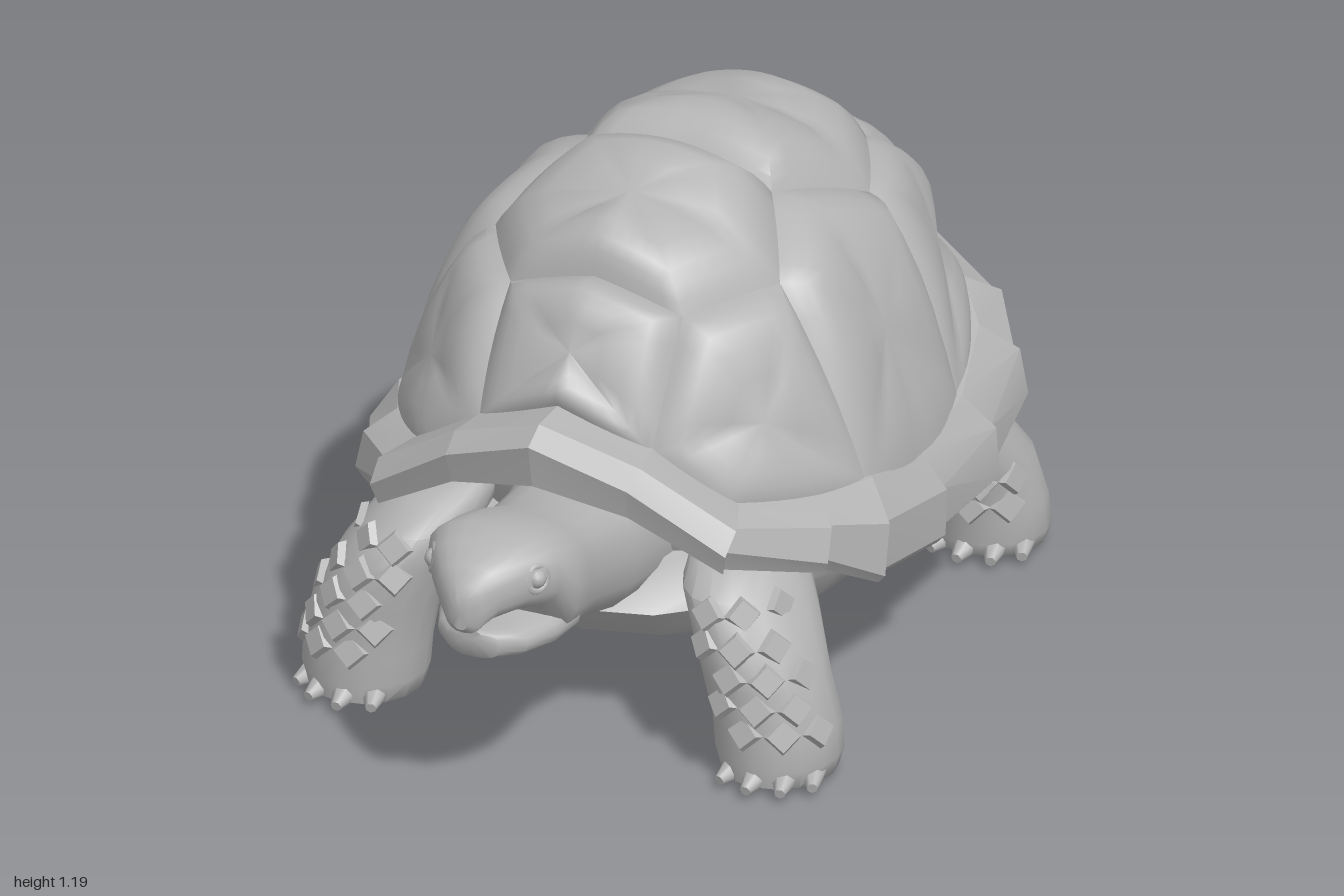
import * as THREE from 'three';
import { toCreasedNormals } from 'three/addons/utils/BufferGeometryUtils.js';

const V = (p) => new THREE.Vector3(...p);
const CORE = new THREE.Vector3(0, 0.5, -0.15);
const grey = new THREE.MeshStandardMaterial({ color: 0xb4b4b4 });
grey.name = 'grey';

function build(verts, faces, crease) {
  const g = new THREE.BufferGeometry();
  g.setAttribute('position', new THREE.Float32BufferAttribute(verts.flatMap((v) => [v.x, v.y, v.z]), 3));
  g.setIndex(faces.flat());
  return toCreasedNormals(g, crease);
}

// Closed skin over equal-length rings, turned outward by its signed volume
function loft(rings, crease = 0.9) {
  const n = rings[0].length, verts = rings.flat(), faces = [];
  for (let r = 0; r < rings.length - 1; r++) {
    for (let i = 0; i < n; i++) {
      const a = r * n + i, b = r * n + (i + 1) % n;
      faces.push([a, b, b + n], [a, b + n, a + n]);
    }
  }
  [0, rings.length - 1].forEach((r, end) => {
    const c = new THREE.Vector3();
    rings[r].forEach((p) => c.addScaledVector(p, 1 / n));
    verts.push(c);
    for (let i = 0; i < n; i++) {
      const a = r * n + i, b = r * n + (i + 1) % n;
      faces.push(end ? [a, b, verts.length - 1] : [b, a, verts.length - 1]);
    }
  });
  const cross = new THREE.Vector3();
  const volume = faces.reduce((s, [a, b, c]) => s + verts[a].dot(cross.crossVectors(verts[b], verts[c])), 0);
  if (volume < 0) faces.forEach((f) => f.reverse());
  return build(verts, faces, crease);
}

// Rings: flat ellipses for limbs, upright squarish ones for the head
function ring(n, fn) {
  return Array.from({ length: n }, (_, i) => V(fn(Math.cos(i / n * Math.PI * 2), Math.sin(i / n * Math.PI * 2))));
}
const square = (v) => Math.sign(v) * Math.abs(v) ** 0.78;
const flatRing = ([x, y, z, rx, rz]) => ring(16, (c, s) => [x + rx * c, y, z + rz * s]);
const uprightRing = ([z, top, bottom, rx]) =>
  ring(20, (c, s) => [rx * square(c), (top + bottom) / 2 + (top - bottom) / 2 * square(s), z]);

// Domed shell plate: seams arch outward, the middle swells to a plateau, most of all near its top
function scute(corners, bulge) {
  const edge = [], steps = 5;
  corners.forEach((p, i) => {
    const q = corners[(i + 1) % corners.length];
    for (let k = 0; k < steps; k++) {
      const t = k / steps, e = p.clone().lerp(q, t);
      const out = e.clone().sub(CORE).normalize();
      edge.push(e.addScaledVector(out, 0.24 * t * (1 - t) * p.distanceTo(q) ** 1.3));
    }
  });
  const n = edge.length, mid = new THREE.Vector3(), normal = new THREE.Vector3();
  corners.forEach((p) => mid.addScaledVector(p, 1 / corners.length));
  corners.forEach((p, i) => {
    const q = corners[(i + 1) % corners.length];
    normal.add(p.clone().sub(mid).cross(q.clone().sub(mid)));
  });
  normal.normalize();
  const flip = normal.dot(mid.clone().sub(CORE)) < 0;
  if (flip) normal.negate();
  const levels = [1, 0.95, 0.88, 0.78, 0.6, 0.35], verts = [], faces = [];
  levels.forEach((t) => edge.forEach((e) => {
    const p = mid.clone().lerp(e, t);
    const swell = bulge * (1 - t ** 5) * (1 + 2.4 * (p.y - mid.y));
    verts.push(p.addScaledVector(normal, swell));
  }));
  verts.push(mid.clone().addScaledVector(normal, bulge));
  for (let r = 0; r < levels.length; r++) {
    for (let i = 0; i < n; i++) {
      const a = r * n + i, b = r * n + (i + 1) % n;
      if (r === levels.length - 1) faces.push([a, b, verts.length - 1]);
      else faces.push([a, b, b + n], [a, b + n, a + n]);
    }
  }
  if (flip) faces.forEach((f) => f.reverse());
  return build(verts, faces, 0.9);
}

export function createModel() {
  const model = new THREE.Group();
  model.name = 'tortoise';
  const add = (name, geo, parent = model) => {
    const m = new THREE.Mesh(geo, grey);
    m.name = name;
    parent.add(m);
    return m;
  };
  const group = (name) => {
    const g = new THREE.Group();
    g.name = name;
    model.add(g);
    return g;
  };

  // Body inside the shell
  add('body', new THREE.SphereGeometry(1, 28, 18).scale(0.48, 0.4, 0.58).translate(0, 0.55, -0.19));

  // Centre-line plates: half outlines from front middle to back middle
  const shell = group('shell');
  const spine = [
    [[[0, 0.8, 0.5], [0.2, 0.71, 0.46], [0.2, 0.96, 0.3], [0, 1.02, 0.31]], 0.065],
    [[[0, 1.02, 0.31], [0.2, 0.96, 0.3], [0.33, 0.97, 0.09], [0.22, 1.07, -0.11], [0, 1.1, -0.12]], 0.125],
    [[[0, 1.1, -0.12], [0.22, 1.07, -0.11], [0.32, 0.96, -0.39], [0.21, 0.97, -0.61], [0, 1.0, -0.62]], 0.115],
    [[[0, 1.0, -0.62], [0.21, 0.97, -0.61], [0.22, 0.83, -0.79], [0.2, 0.65, -0.83], [0, 0.67, -0.84]], 0.055],
  ];
  spine.forEach(([half, bulge]) => {
    const other = half.slice(1, -1).reverse().map(([x, y, z]) => [-x, y, z]);
    add('spinePlate', scute([...half, ...other].map(V), bulge), shell);
  });

  // Side plates
  const flank = [
    [[[0.2, 0.71, 0.46], [0.2, 0.96, 0.3], [0.33, 0.97, 0.09], [0.54, 0.55, 0.11], [0.48, 0.56, 0.25], [0.35, 0.59, 0.42]], 0.05],
    [[[0.33, 0.97, 0.09], [0.22, 1.07, -0.11], [0.32, 0.96, -0.39], [0.53, 0.52, -0.38], [0.56, 0.5, -0.13], [0.54, 0.55, 0.11]], 0.065],
    [[[0.32, 0.96, -0.39], [0.21, 0.97, -0.61], [0.22, 0.83, -0.79], [0.2, 0.65, -0.83], [0.37, 0.6, -0.74], [0.46, 0.56, -0.6], [0.53, 0.52, -0.38]], 0.045],
  ];
  // Rim stations: inner point, outer point, lip depth
  const rim = [
    [[0, 0.8, 0.49], [0, 0.77, 0.65], 0.1], [[0.2, 0.72, 0.45], [0.21, 0.69, 0.61], 0.07],
    [[0.38, 0.6, 0.41], [0.4, 0.55, 0.53], 0.05], [[0.49, 0.57, 0.24], [0.53, 0.46, 0.31], 0.03],
    [[0.55, 0.56, 0.1], [0.58, 0.36, 0.14], 0.02], [[0.56, 0.51, -0.13], [0.59, 0.33, -0.13], 0.02],
    [[0.54, 0.53, -0.38], [0.59, 0.34, -0.4], 0.02], [[0.47, 0.57, -0.62], [0.54, 0.4, -0.66], 0.02],
    [[0.38, 0.61, -0.74], [0.42, 0.45, -0.83], 0.02], [[0.2, 0.66, -0.82], [0.22, 0.52, -0.93], 0.03],
    [[0, 0.68, -0.83], [0, 0.56, -0.99], 0.03],
  ];
  const rimSection = (station, s, flare) => {
    const [i, o] = station.slice(0, 2).map(([x, y, z]) => V([x * s, y, z]));
    o.addScaledVector(V([o.x, 0, o.z + 0.15]).normalize(), flare);
    const lip = station[2];
    const crest = i.clone().lerp(o, 0.5).add(V([i.x * 0.05, 0.015, i.z * 0.05]));
    const root = V([i.x * 0.88, i.y + 0.01, i.z * 0.88]);
    const bottom = V([o.x * 0.97, o.y - lip, o.z * 0.97]);
    const under = V([i.x * 0.88, Math.min(i.y - 0.05, o.y - lip + 0.04), i.z * 0.88]);
    return [root, i, crest, o, bottom, under];
  };

  // Legs: x, y, z, half width, half depth
  const legs = {
    frontLeg: [[0.3, 0.5, 0.24, 0.05, 0.08], [0.335, 0.47, 0.29, 0.095, 0.15], [0.365, 0.42, 0.345, 0.12, 0.185], [0.41, 0.34, 0.39, 0.13, 0.17],
      [0.45, 0.24, 0.425, 0.137, 0.138], [0.475, 0.13, 0.42, 0.138, 0.135], [0.48, 0.06, 0.42, 0.136, 0.14], [0.48, 0.02, 0.42, 0.125, 0.133], [0.48, 0.003, 0.42, 0.09, 0.1]],
    hindLeg: [[0.33, 0.46, -0.5, 0.13, 0.16], [0.38, 0.34, -0.6, 0.135, 0.16], [0.42, 0.22, -0.7, 0.13, 0.14],
      [0.435, 0.12, -0.73, 0.135, 0.125], [0.44, 0.05, -0.735, 0.135, 0.128], [0.44, 0.02, -0.735, 0.125, 0.118], [0.44, 0.003, -0.735, 0.09, 0.085]],
  };
  const legAt = (rows, y) => {
    const k = Math.max(1, rows.findIndex((r) => r[1] <= y)), a = rows[k - 1], b = rows[k];
    const t = (a[1] - y) / (a[1] - b[1]);
    return a.map((v, i) => v + (b[i] - v) * t);
  };

  [1, -1].forEach((s) => {
    const side = s > 0 ? 'left' : 'right';
    flank.forEach(([pts, bulge]) =>
      add(side + 'SidePlate', scute(pts.map(([x, y, z]) => V([x * s, y, z])), bulge), shell));

    // Rim plates, each flaring a little at its rear corner
    for (let i = 0; i < rim.length - 1; i++) {
      const flare = i === 0 || i === rim.length - 2 ? 0 : 0.025;
      add(side + 'RimPlate', loft([rimSection(rim[i], s, 0), rimSection(rim[i + 1], s, flare)], 0.45), shell);
    }

    for (const [name, rows] of Object.entries(legs)) {
      const leg = group(side + name[0].toUpperCase() + name.slice(1));
      const front = name === 'frontLeg';
      add('limb', loft(rows.map(([x, ...r]) => flatRing([x * s, ...r]))), leg);

      // Low diamond scales on the forward face
      const levels = front ? [0.4, 0.335, 0.27, 0.205, 0.145] : [0.21, 0.145];
      levels.forEach((y, row) => {
        const [x, , z, rx, rz] = legAt(rows, y);
        for (let k = 0; k < 3; k++) {
          const a = THREE.MathUtils.degToRad(24 + k * 36 + (row % 2) * 18);
          const geo = new THREE.CylinderGeometry(0.034, 0.042, 0.016, 4).rotateX(Math.PI / 2);
          const scale = add('scale', toCreasedNormals(geo, 0.3), leg);
          const normal = V([s * Math.cos(a) / rx, front ? 2 : 1, Math.sin(a) / rz]);
          scale.position.set(s * (x + rx * Math.cos(a)), y, z + rz * Math.sin(a));
          scale.lookAt(scale.position.clone().add(normal));
        }
      });

      // Claws
      const foot = rows[rows.length - 3];
      for (let k = 0; k < 4; k++) {
        const a = THREE.MathUtils.degToRad(30 + k * 31);
        const claw = add('claw', new THREE.CylinderGeometry(0.012, 0.034, 0.07, 7).rotateX(Math.PI / 2), leg);
        claw.position.set(s * (foot[0] + foot[3] * 0.9 * Math.cos(a)), 0.034, foot[2] + foot[4] * 0.95 * Math.sin(a));
        claw.lookAt(claw.position.clone().add(V([s * Math.cos(a) * 0.5, -0.25, 1])));
      }
    }

    // Eye with heavy lid
    const eye = group(side + 'Eye');
    add('eyeball', new THREE.SphereGeometry(0.022, 12, 8), eye);
    add('eyelid', new THREE.TorusGeometry(0.027, 0.01, 6, 16), eye);
    eye.position.set(s * 0.118, 0.587, 0.868);
    eye.lookAt(s * 1.1, 0.75, 1.4);
  });

  // Belly plate
  add('bellyPlate', loft([[0, 0.4, -0.17, 0.54, 0.54], [0, 0.31, -0.17, 0.5, 0.65], [0, 0.21, -0.17, 0.42, 0.54],
    [0, 0.145, -0.16, 0.31, 0.4], [0, 0.108, -0.15, 0.19, 0.25], [0, 0.09, -0.15, 0.06, 0.1]].map(flatRing)));

  // Neck, head with blunt beak, and open lower jaw: z, top, bottom, half width
  add('neckAndHead', loft([[0.25, 0.6, 0.29, 0.19], [0.45, 0.59, 0.3, 0.16], [0.6, 0.605, 0.345, 0.145], [0.69, 0.64, 0.37, 0.163],
    [0.76, 0.658, 0.39, 0.168], [0.82, 0.665, 0.485, 0.155], [0.89, 0.655, 0.502, 0.118], [0.95, 0.63, 0.505, 0.076],
    [0.98, 0.6, 0.485, 0.045], [0.998, 0.575, 0.5, 0.02]].map(uprightRing), 0.7));
  add('lowerJaw', loft([[0.7, 0.49, 0.375, 0.145], [0.8, 0.475, 0.385, 0.138], [0.88, 0.468, 0.395, 0.105],
    [0.93, 0.475, 0.405, 0.062], [0.945, 0.475, 0.43, 0.03]].map(uprightRing), 0.7));

  // Tail
  add('tail', loft([[-0.7, 0.5, 0.32, 0.1], [-0.86, 0.45, 0.35, 0.065], [-0.99, 0.365, 0.345, 0.012]].map(uprightRing)));

  return model;
}
